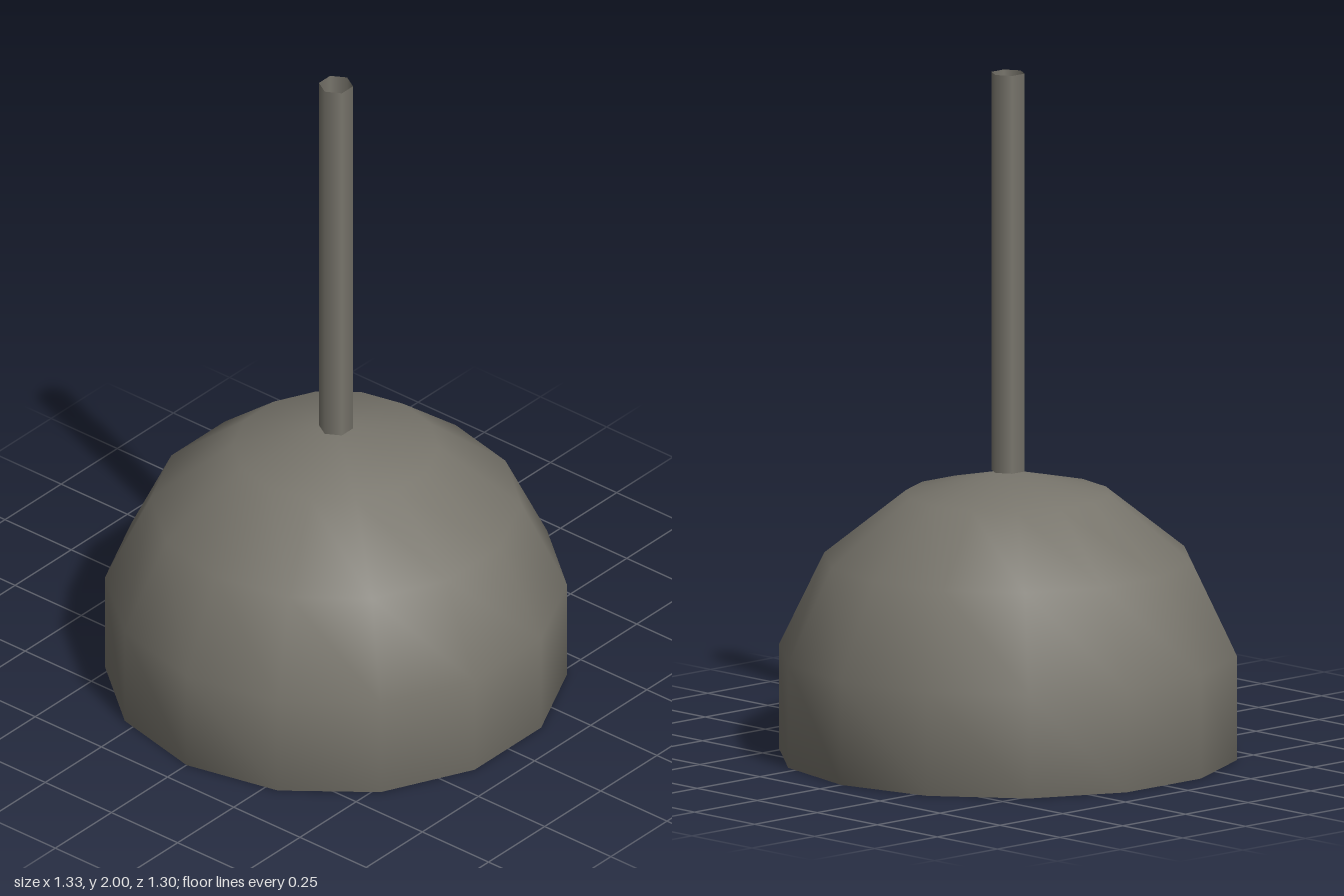
import * as THREE from 'three';

export function createModel() {
  const group = new THREE.Group();
  const metal = new THREE.MeshStandardMaterial({ color: 0x78756c, side: THREE.DoubleSide });
  metal.name = 'warm grey metal';

  const add = (name, geometry, y) => {
    const mesh = new THREE.Mesh(geometry, metal);
    mesh.name = name;
    mesh.position.y = y;
    group.add(mesh);
  };

  const SIDES = 14;
  const R = 0.683;                              // sphere radius
  const step = Math.PI / 7;                     // angle between dome rings
  const centre = R * Math.cos(3 * step);        // puts the fourth ring on the ground
  const outer = R * Math.sin(3 * step);         // radius at the rim
  const inner = 0.626;
  const depth = 0.15;                           // height of the recessed underside

  // Dome shade: the upper four bands of a coarse sphere
  add('domeShade', new THREE.SphereGeometry(R, SIDES, 4, 0, Math.PI * 2, 0, 4 * step), centre);

  // Flat rim around the opening
  const rim = new THREE.RingGeometry(inner, outer, SIDES);
  rim.rotateX(Math.PI / 2);
  add('rim', rim, 0);

  // Inner wall, with its faces turned towards the axis
  const wall = new THREE.CylinderGeometry(inner, inner, depth, SIDES, 1, true, Math.PI / 2);
  wall.scale(-1, 1, 1);
  const index = wall.index.array;
  const normals = wall.attributes.normal;
  for (let i = 0; i < normals.count; i++) {
    normals.setXYZ(i, -normals.getX(i), 0, -normals.getZ(i));
  }
  // Mirroring already reversed the winding, so it agrees with the inward normals
  wall.setIndex(Array.from(index));
  add('innerWall', wall, depth / 2);

  // Recessed underside
  const underside = new THREE.CircleGeometry(inner, SIDES);
  underside.rotateX(Math.PI / 2);
  add('underside', underside, depth);

  // Open six-sided hanging rod
  const bottom = 0.832;
  add('rod', new THREE.CylinderGeometry(0.05, 0.05, 2 - bottom, 6, 1, true, Math.PI / 2), (2 + bottom) / 2);

  return group;
}
